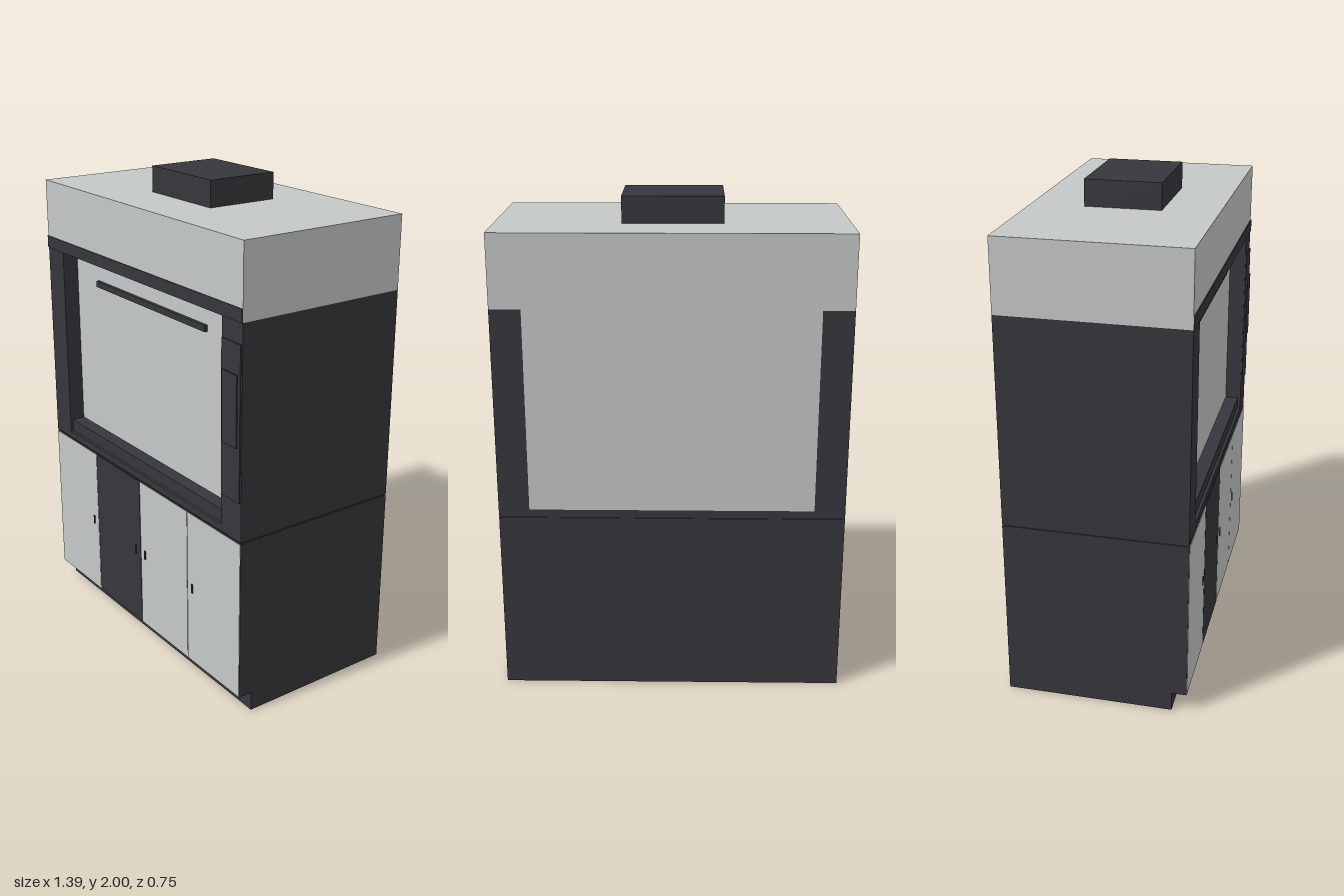
import * as THREE from 'three';

export function createModel() {
  const model = new THREE.Group();
  model.name = 'fumeHood';

  const dark = new THREE.MeshStandardMaterial({ color: 0x37363c });
  dark.name = 'charcoal';
  const light = new THREE.MeshStandardMaterial({ color: 0xc4c8c6 });
  light.name = 'paleGrey';

  // Box given by its limits on each axis
  function box(name, material, [x0, x1], [y0, y1], [z0, z1]) {
    const mesh = new THREE.Mesh(new THREE.BoxGeometry(x1 - x0, y1 - y0, z1 - z0), material);
    mesh.position.set((x0 + x1) / 2, (y0 + y1) / 2, (z0 + z1) / 2);
    mesh.name = name;
    model.add(mesh);
    return mesh;
  }

  const W = 0.693, IN = 0.57, BACK = -0.37, FRONT = 0.364;
  const full = [-W, W];
  const depth = [BACK, FRONT];

  // Base cabinet on a plinth set back at the front
  box('plinth', dark, full, [0, 0.08], [BACK, 0.305]);
  box('cabinet', dark, full, [0.08, 0.75], depth);
  box('shadowGap', dark, [-W + 0.004, W - 0.004], [0.75, 0.756], [BACK + 0.004, FRONT - 0.004]);
  box('worktop', dark, full, [0.756, 0.785], depth);

  // Four cabinet doors in two pairs, with small pulls at the meeting edges
  const doorWidth = W / 2;
  for (let i = 0; i < 4; i++) {
    const x = -W + i * doorWidth;
    box('door', i === 1 ? dark : light, [x + 0.002, x + doorWidth - 0.002], [0.083, 0.748], [FRONT, FRONT + 0.002]);
    const pull = i % 2 === 0 && i < 2 ? x + doorWidth - 0.035
      : i === 1 ? x + doorWidth - 0.038 : x + 0.035;
    box('doorPull', dark, [pull - 0.004, pull + 0.004], [0.4, 0.44], [FRONT, 0.37]);
  }

  // Side columns of the working chamber
  for (const s of [-1, 1]) {
    const xs = s < 0 ? [-W, -IN] : [IN, W];
    box('sideColumn', dark, xs, [0.785, 1.605], depth);
  }

  // Chamber with front sash, sill and lifting handle
  box('chamber', light, [-IN, IN], [0.785, 1.605], [BACK, 0.285]);
  box('sash', light, [-IN, IN], [0.838, 1.57], [0.285, 0.296]);
  box('sashSlot', light, [-0.48, 0.48], [1.582, 1.59], [0.285, 0.296]);
  box('sashHandle', dark, [-0.39, 0.39], [1.485, 1.51], [0.296, 0.31]);
  box('sill', dark, [-IN, IN], [0.785, 0.838], [0.285, 0.352]);

  // Upper housing, front trim and exhaust collar
  box('upperHousing', light, full, [1.605, 1.895], depth);
  box('frontTrim', dark, full, [1.605, 1.655], [FRONT, 0.368]);
  box('exhaustCollar', dark, [-0.2, 0.197], [1.895, 2], [-0.157, 0.145]);

  // Control panel on the model's left column
  box('controlPanel', dark, [0.574, 0.686], [0.915, 1.525], [FRONT, 0.369]);
  box('controlDisplay', dark, [0.585, 0.672], [1.13, 1.41], [0.369, 0.375]);

  return model;
}
